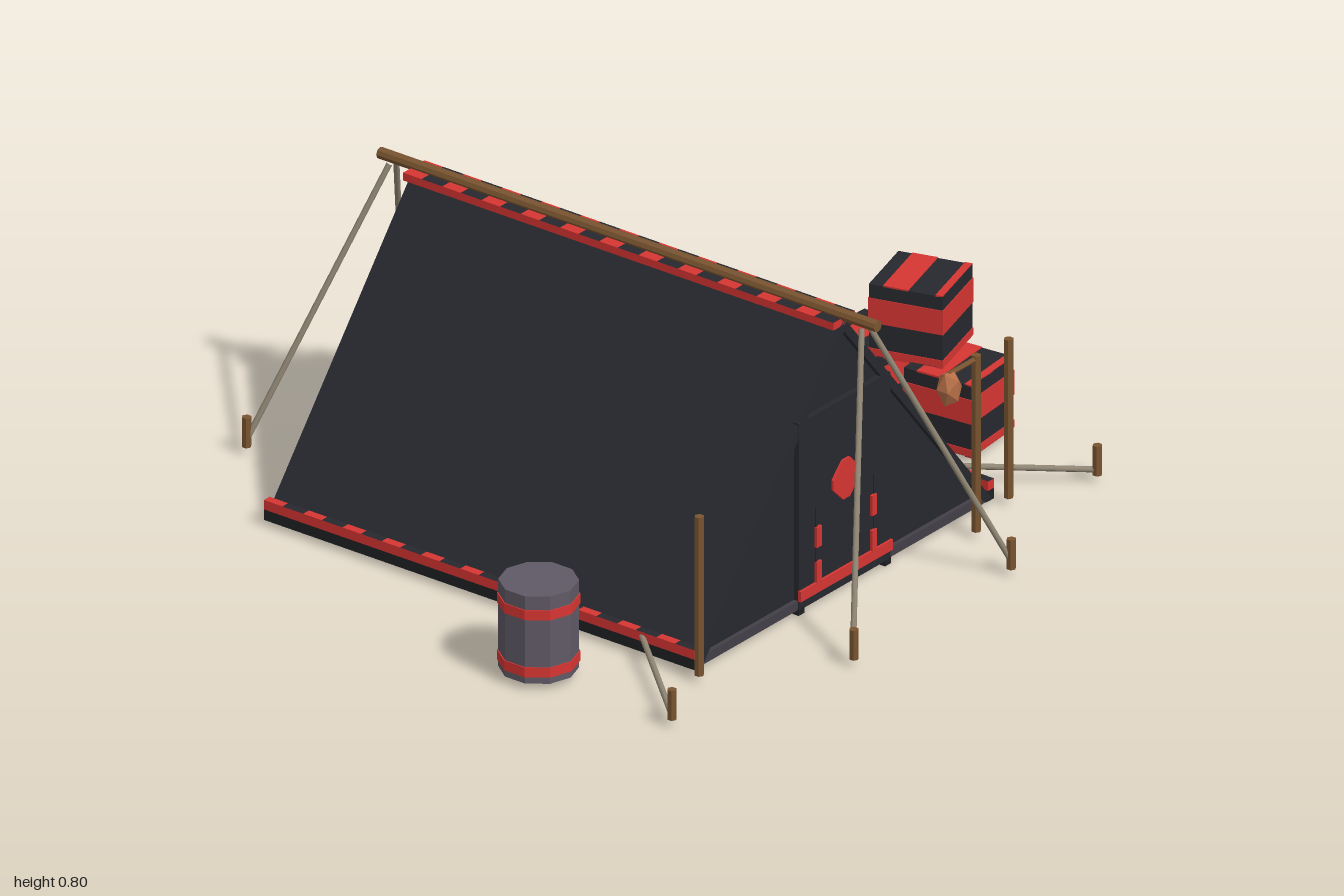
import * as THREE from 'three';

const mat = (name, color) => Object.assign(new THREE.MeshStandardMaterial({ color, flatShading: true }), { name });

export function createModel() {
  const canvas = mat('charcoal canvas', 0x27282e);
  const dark = mat('black binding', 0x1f2024);
  const red = mat('red trim', 0xd63532);
  const wood = mat('brown wood', 0x7a5430);
  const rope = mat('rope', 0x8f8573);
  const grey = mat('grey staves', 0x5f5965);
  const sheet = mat('grey groundsheet', 0x423f47);
  const copper = mat('copper', 0xb56f47);

  const model = new THREE.Group();
  model.name = 'tentCamp';
  const add = (name, geo, material, x = 0, y = 0, z = 0, parent = model) => {
    const m = new THREE.Mesh(geo, material);
    m.name = name;
    m.position.set(x, y, z);
    parent.add(m);
    return m;
  };
  const box = (name, material, w, h, d, x, y, z, parent) =>
    add(name, new THREE.BoxGeometry(w, h, d), material, x, y, z, parent);
  const post = (name, x, z, y0, y1, r) =>
    add(name, new THREE.CylinderGeometry(r, r, y1 - y0, 6), wood, x, (y0 + y1) / 2, z);
  const polygon = (pts) => new THREE.Shape(pts.map(([x, y]) => new THREE.Vector2(x, y)));
  const extrude = (shape, depth) => new THREE.ExtrudeGeometry(shape, { depth, bevelEnabled: false });

  // Tent, slightly off the centre line
  const tent = new THREE.Group();
  tent.name = 'tent';
  tent.position.x = -0.012;
  model.add(tent);

  const roof = polygon([[-0.615, 0.02], [-0.585, 0.02], [0, 0.74], [0.585, 0.02], [0.615, 0.02], [0, 0.778]]);
  add('roof', extrude(roof, 1.4), canvas, 0, 0, -0.7, tent);
  add('gableWalls', extrude(polygon([[-0.595, 0.02], [0.595, 0.02], [0, 0.75]]), 1.37), canvas, 0, 0, -0.685, tent);
  box('groundsheet', sheet, 1.19, 0.026, 1.396, 0, 0.028, 0, tent);

  // Hem rails and ridge strips: solid red sides, tops alternating red and canvas
  const gapFaces = [red, red, canvas, red, red, red];
  const dashedStrip = (name, w, h, x, y) => {
    const step = 0.1277;
    const dash = 0.06;
    for (let k = 0; k < 11; k++) {
      const z = -0.7 + k * step;
      const gap = Math.min(step - dash, 0.7 - z - dash);
      box(name + 'Dash', red, w, h, dash, x, y, z + dash / 2, tent);
      box(name + 'Gap', gapFaces, w, h, gap, x, y, z + dash + gap / 2, tent);
    }
  };
  for (const s of [-1, 1]) {
    box('hemBase', dark, 0.03, 0.03, 1.4, s * 0.61, 0.03, 0, tent);
    dashedStrip('hem', 0.024, 0.027, s * 0.613, 0.0585);
    dashedStrip('ridge', 0.045, 0.022, s * 0.0225, 0.771);
  }
  const ridge = add('ridgePole', new THREE.CylinderGeometry(0.016, 0.016, 1.62, 8), wood, 0, 0.788, 0, tent);
  ridge.rotation.x = Math.PI / 2;

  // Door flap with trim
  box('door', canvas, 0.38, 0.535, 0.02, 0, 0.2825, 0.692, tent);
  box('doorBand', red, 0.384, 0.03, 0.01, 0, 0.056, 0.704, tent);
  for (const s of [-1, 1]) {
    box('doorFoot', dark, 0.024, 0.02, 0.02, s * 0.18, 0.01, 0.692, tent);
    box('doorStrap', canvas, 0.006, 0.22, 0.004, s * 0.121, 0.175, 0.703, tent);
    for (const y of [0.2, 0.1]) box('strapDash', red, 0.02, 0.058, 0.009, s * 0.115, y, 0.7055, tent);
  }
  const diamond = polygon([[-0.056, -0.014], [-0.014, -0.056], [0.014, -0.056], [0.056, -0.014],
    [0.056, 0.014], [0.014, 0.056], [-0.014, 0.056], [-0.056, 0.014]]);
  add('doorPatch', extrude(diamond, 0.008), red, 0, 0.322, 0.701, tent);

  // Guy ropes and their stakes
  const guyRope = (a, b) => add('guyRope', new THREE.TubeGeometry(new THREE.LineCurve3(a, b), 1, 0.008, 16), rope);
  for (const s of [-1, 1]) {
    for (const e of [-1, 1]) {
      const x = -0.012 + s * 0.328;
      guyRope(new THREE.Vector3(-0.012 + s * 0.014, 0.775, e * 0.768), new THREE.Vector3(x, 0.045, e * 0.985));
      post('stake', x, e * 0.988, 0.02, 0.105, 0.013);
    }
    const sx = -0.012 + s * 0.887;
    guyRope(new THREE.Vector3(-0.012 + s * 0.61, 0.058, 0.515), new THREE.Vector3(sx, 0.034, 0.83));
    post('sideStake', sx, 0.832, 0.02, 0.105, 0.013);
    post('cornerPole', -0.012 + s * 0.645, 0.732, 0.02, 0.475, 0.013);
  }

  // Lantern on its pole
  post('lanternPole', 0.43, 0.785, 0.02, 0.525, 0.013);
  const arm = add('lanternArm', new THREE.CylinderGeometry(0.007, 0.007, 0.12, 6), wood, 0.372, 0.514, 0.785);
  arm.rotation.z = Math.PI / 2;
  const lantern = add('lantern', new THREE.IcosahedronGeometry(0.035, 0), copper, 0.317, 0.474, 0.785);
  lantern.scale.y = 1.55;

  // Barrel with red hoops
  const barrel = new THREE.Group();
  barrel.name = 'barrel';
  barrel.position.set(-0.873, 0, 0.378);
  model.add(barrel);
  add('staves', new THREE.CylinderGeometry(0.104, 0.104, 0.25, 10), grey, 0, 0.145, 0, barrel);
  for (const y of [0.053, 0.217])
    add('hoop', new THREE.CylinderGeometry(0.107, 0.107, 0.028, 10), red, 0, y, 0, barrel);

  // Striped crates
  const crate = (x, y, z, turn) => {
    const g = new THREE.Group();
    g.name = 'crate';
    g.position.set(x, y, z);
    g.rotation.y = turn;
    model.add(g);
    const S = 0.204;
    box('crateBody', canvas, S, S, S, 0, S / 2, 0, g);
    box('wideBand', red, S + 0.004, 0.07, S + 0.004, 0, 0.13, 0, g);
    box('lowBand', red, S + 0.004, 0.02, S + 0.004, 0, 0.012, 0, g);
    for (const h of [0, S]) {
      box('lidBand', red, S, 0.005, 0.07, 0, h, -0.028, g);
      box('lidEdge', red, S, 0.005, 0.02, 0, h, 0.092, g);
    }
  };
  crate(0.826, 0.022, 0.126, -0.05);
  crate(0.84, 0.022, 0.408, 0.1);
  crate(0.845, 0.233, 0.28, 0.28);

  return model;
}
